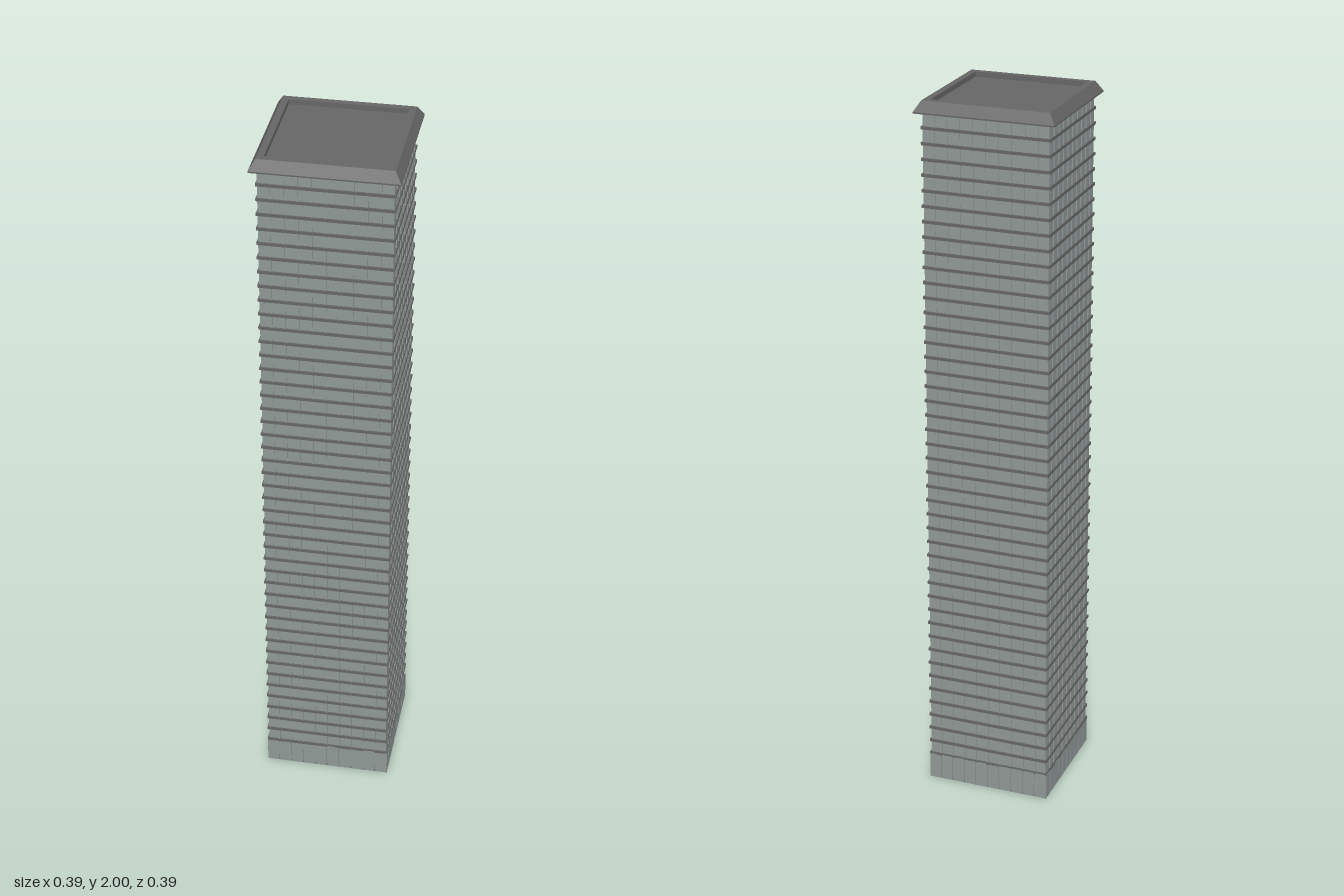
import * as THREE from 'three';

const mat = (name, color, flat = false) => {
  const m = new THREE.MeshStandardMaterial({ color });
  m.name = name;
  m.flatShading = flat;
  return m;
};

export function createModel() {
  const tower = new THREE.Group();
  tower.name = 'tower';
  const facade = mat('facadeGrey', 0x8f9896);
  const dark = mat('roofGrey', 0x666666, true);

  const BASE = 0.077, ROOF = 1.97, FLOORS = 45, BAYS = 10;
  const WALL = 0.174, OUTER = 0.178;

  const box = (parent, name, material, w, h, d, x, y, z) => {
    const mesh = new THREE.Mesh(new THREE.BoxGeometry(w, h, d), material);
    mesh.name = name;
    mesh.position.set(x, y, z);
    parent.add(mesh);
    return mesh;
  };

  // Main shaft
  box(tower, 'shaft', facade, WALL * 2, ROOF, WALL * 2, 0, ROOF / 2, 0);

  // Floor ledges wrapping the shaft
  const step = (ROOF - BASE) / FLOORS;
  const ledges = new THREE.Group();
  ledges.name = 'floorLedges';
  for (let i = 0; i < FLOORS; i++) {
    box(ledges, 'floorLedge', dark, OUTER * 2, 0.008, OUTER * 2, 0, BASE + i * step, 0);
  }
  tower.add(ledges);

  // Each side: ground floor panels with narrow joints, thin mullions above
  const bay = (OUTER * 2) / BAYS;
  for (let side = 0; side < 4; side++) {
    const face = new THREE.Group();
    face.name = 'facadeSide';
    face.rotation.y = (side * Math.PI) / 2;
    for (let i = 0; i < BAYS; i++) {
      const x = -OUTER + (i + 0.5) * bay;
      box(face, 'groundPanel', facade, bay - 0.003, BASE, OUTER - WALL, x, BASE / 2, (OUTER + WALL) / 2);
    }
    for (let i = 1; i < BAYS; i++) {
      const x = -OUTER + i * bay;
      box(face, 'mullion', facade, 0.003, ROOF - BASE, 0.003, x, (ROOF + BASE) / 2, WALL + 0.0015);
    }
    tower.add(face);
  }

  // Dark foundation plate on the underside
  box(tower, 'foundation', dark, OUTER * 2 - 0.002, 0.004, OUTER * 2 - 0.002, 0, 0.002, 0);

  // Flared square cornice with a sunken roof deck
  const profile = [
    [0, 1.968], [0.193, 1.968], [0.193, 1.972], [0.176, 2],
    [0.158, 2], [0.158, 1.986], [0, 1.986],
  ].map(([r, y]) => new THREE.Vector2(r * Math.SQRT2, y));
  const roof = new THREE.Mesh(new THREE.LatheGeometry(profile, 4, Math.PI / 4), dark);
  roof.name = 'roofCornice';
  tower.add(roof);

  return tower;
}
